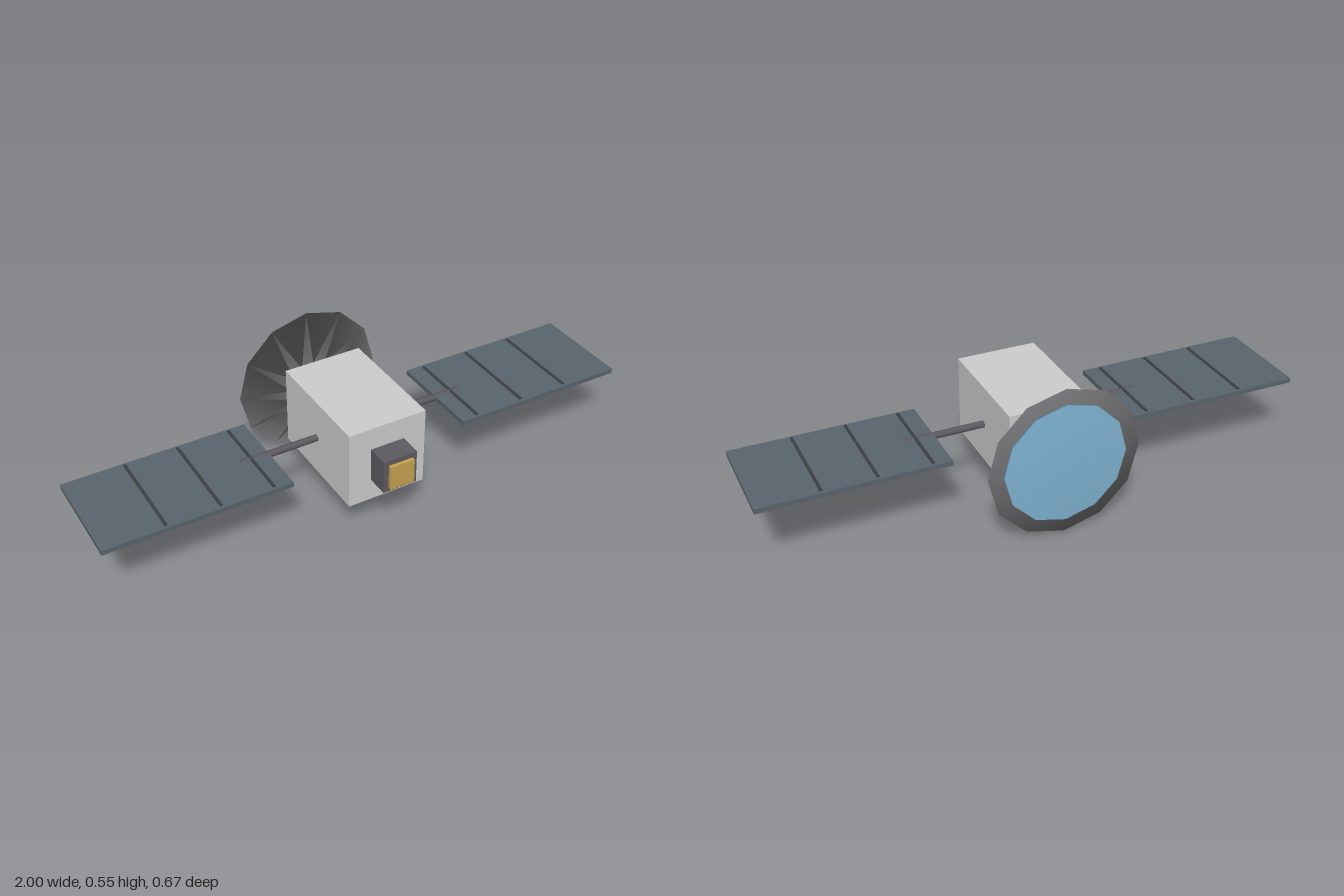
import * as THREE from 'three';
import { mergeVertices } from 'three/addons/utils/BufferGeometryUtils.js';

const mat = (color) => new THREE.MeshStandardMaterial({ color });
const bodyMat = mat(0xcccccc);
const darkMat = mat(0x5c5a60);
const dishMat = mat(0x6c6c6e);
const panelMat = mat(0x59646c);
const ribMat = mat(0x3c4046);
const blueMat = mat(0x7fb2d0);
const goldMat = mat(0xc4a050);
const AXIS_Y = 0.28;

function add(parent, name, geometry, material, x, y, z) {
  const mesh = new THREE.Mesh(geometry, material);
  mesh.name = name;
  mesh.position.set(x, y, z);
  parent.add(mesh);
  return mesh;
}

// Twelve-sided round part along z whose normals are blended over all edges
function softDisc(frontRadius, backRadius, depth) {
  const g = new THREE.CylinderGeometry(frontRadius, backRadius, depth, 12);
  g.rotateX(Math.PI / 2);
  g.deleteAttribute('normal');
  g.deleteAttribute('uv');
  const merged = mergeVertices(g, 1e-4);
  merged.computeVertexNormals();
  return merged;
}

// Solar wing: arm, panel and raised ribs
function createWing(side) {
  const wing = new THREE.Group();
  wing.name = side > 0 ? 'leftWing' : 'rightWing';
  const arm = new THREE.CylinderGeometry(0.0125, 0.0125, 0.3, 8);
  arm.rotateZ(Math.PI / 2);
  add(wing, 'arm', arm, darkMat, side * 0.29, AXIS_Y, 0.014);
  add(wing, 'solarPanel', new THREE.BoxGeometry(0.665, 0.018, 0.372), panelMat,
    side * 0.6675, 0.279, 0.014);
  for (const x of [0.4, 0.59, 0.78]) {
    add(wing, 'panelRib', new THREE.BoxGeometry(0.01, 0.008, 0.35), ribMat,
      side * x, 0.288, 0.014);
  }
  return wing;
}

export function createModel() {
  const model = new THREE.Group();
  model.name = 'satellite';

  // Main body
  add(model, 'body', new THREE.BoxGeometry(0.295, 0.295, 0.444), bodyMat, 0, AXIS_Y, 0.015);

  // Instrument on the front
  add(model, 'instrumentHousing', new THREE.BoxGeometry(0.127, 0.127, 0.084), darkMat,
    0, AXIS_Y, 0.278);
  add(model, 'instrumentWindow', new THREE.BoxGeometry(0.092, 0.092, 0.014), goldMat,
    0, AXIS_Y, 0.329);

  // Dish behind the body, with its blue face pointing back
  add(model, 'dish', softDisc(0.092, 0.277, 0.045), dishMat, 0, AXIS_Y, -0.3005);
  add(model, 'dishFace', softDisc(0.222, 0.222, 0.01), blueMat, 0, AXIS_Y, -0.33);

  for (const side of [-1, 1]) model.add(createWing(side));
  return model;
}
